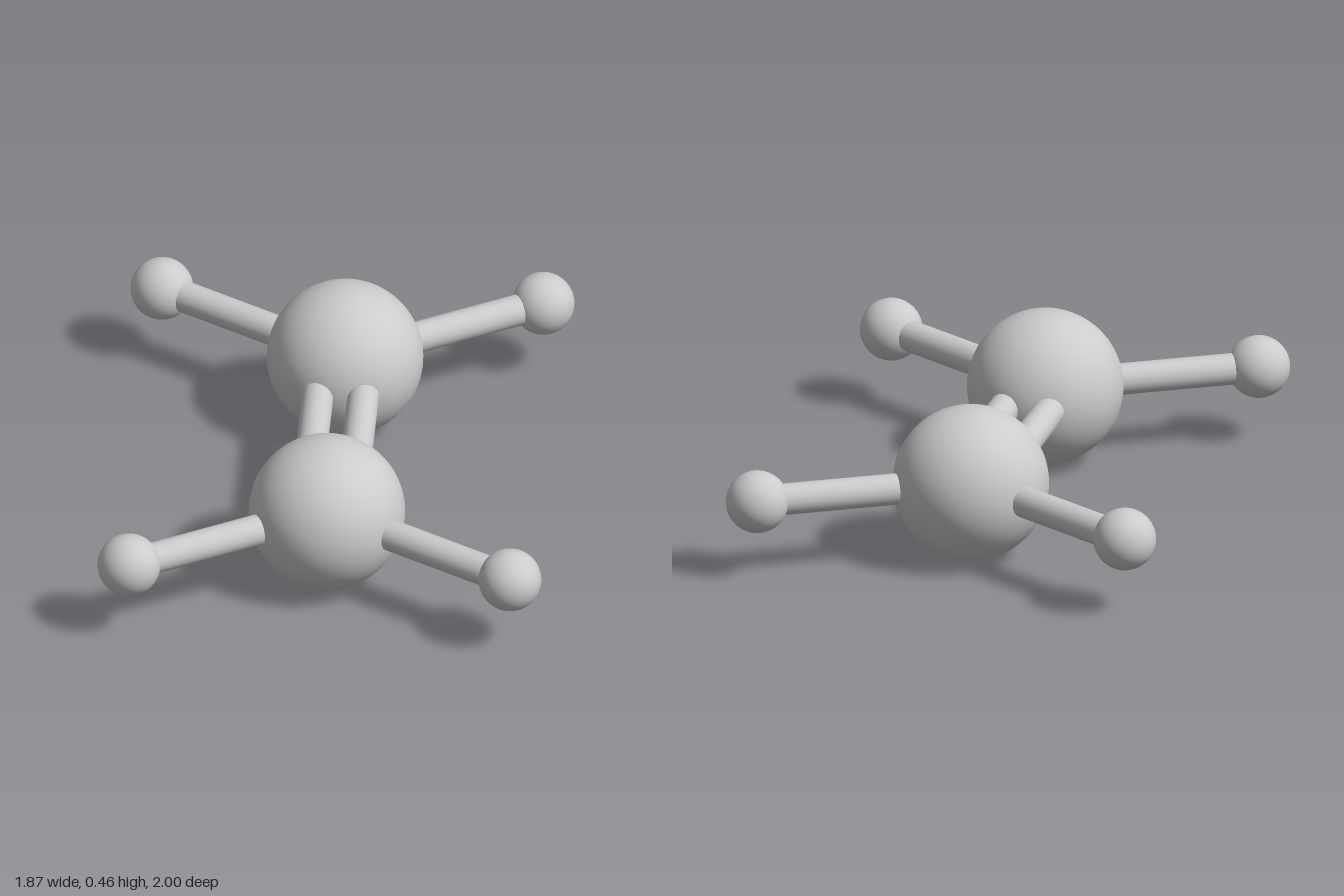
import * as THREE from 'three';

const Y = 0.228;              // height of the plane holding every atom
const LARGE = 0.228, SMALL = 0.0915, ROD = 0.046;
const material = new THREE.MeshStandardMaterial({ color: 0xcccccc });

function atom(name, position, radius) {
  const mesh = new THREE.Mesh(new THREE.SphereGeometry(radius, 48, 32), material);
  mesh.name = name;
  mesh.position.copy(position);
  return mesh;
}

// Round rod joining two points
function bond(name, a, b) {
  const along = b.clone().sub(a);
  const mesh = new THREE.Mesh(new THREE.CylinderGeometry(ROD, ROD, along.length(), 32), material);
  mesh.name = name;
  mesh.position.copy(a).add(b).multiplyScalar(0.5);
  mesh.quaternion.setFromUnitVectors(new THREE.Vector3(0, 1, 0), along.normalize());
  return mesh;
}

export function createModel() {
  const model = new THREE.Group();
  model.name = 'ballAndStickMolecule';

  // Two matching halves, each turned half a circle about the y axis
  for (const [half, s] of [['back', 1], ['front', -1]]) {
    const point = (x, z) => new THREE.Vector3(x * s, Y, z * s);
    const centre = point(0.201, -0.352);
    model.add(atom(`${half}LargeAtom`, centre, LARGE));

    [['side', 0.842, -0.352], ['end', -0.12, -0.9085]].forEach(([place, x, z]) => {
      const tip = point(x, z);
      model.add(atom(`${half}${place}SmallAtom`, tip, SMALL));
      model.add(bond(`${half}${place}Bond`, centre, tip));
    });
  }

  // Pair of parallel rods between the large atoms
  const offset = new THREE.Vector3(0.352, 0, 0.201).normalize().multiplyScalar(0.066);
  for (const s of [-1, 1]) {
    const a = new THREE.Vector3(0.201, Y, -0.352).addScaledVector(offset, s);
    const b = new THREE.Vector3(-0.201, Y, 0.352).addScaledVector(offset, s);
    model.add(bond(s < 0 ? 'doubleBondRight' : 'doubleBondLeft', a, b));
  }
  return model;
}
